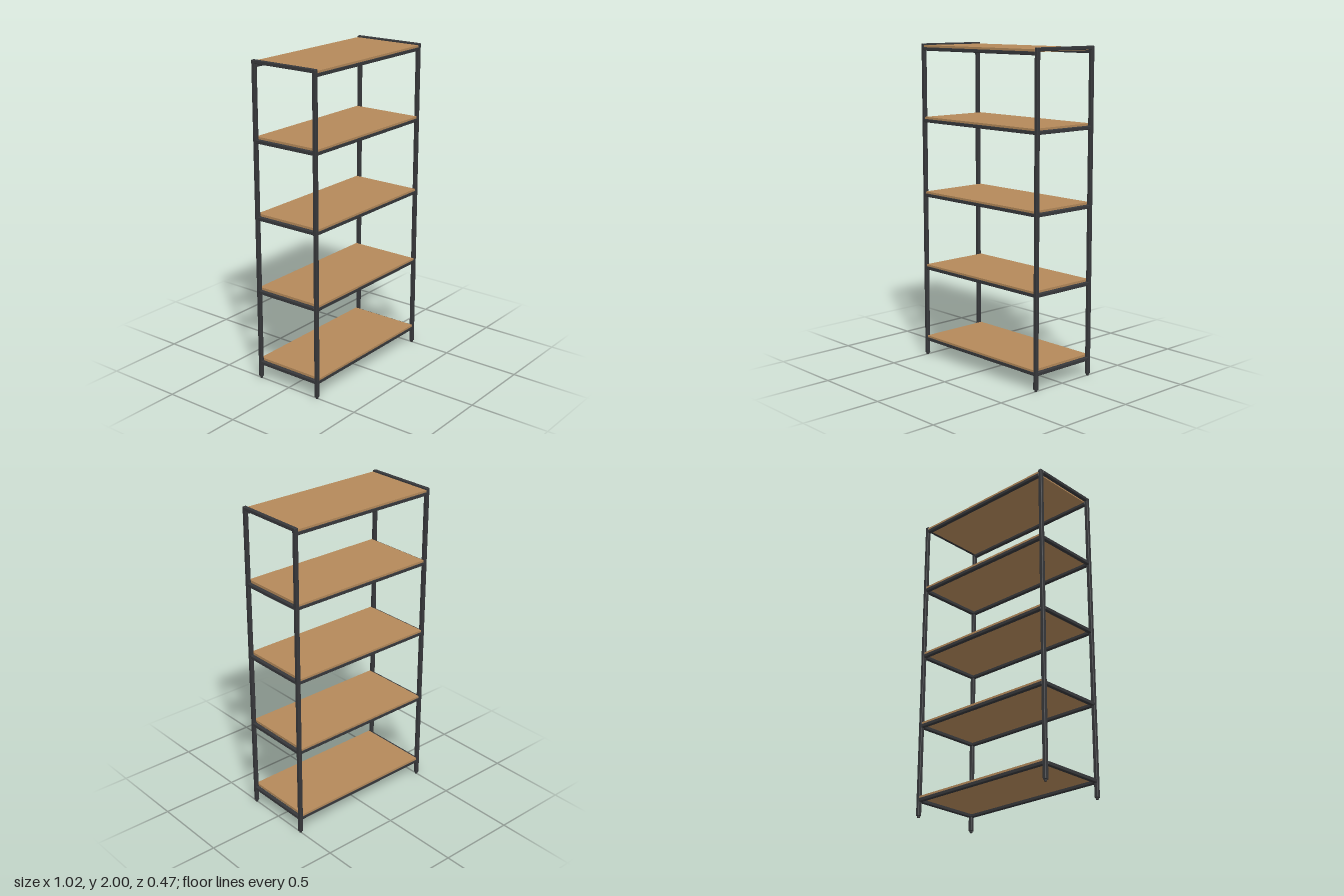
import * as THREE from 'three';
import { RoundedBoxGeometry } from 'three/addons/geometries/RoundedBoxGeometry.js';

export function createModel() {
  const model = new THREE.Group();
  model.name = 'shelvingUnit';

  const metal = new THREE.MeshStandardMaterial({ color: 0x37383b });
  metal.name = 'dark metal';
  const wood = new THREE.MeshStandardMaterial({ color: 0xb4895a });
  wood.name = 'warm wood';

  const T = 0.024;            // tube thickness
  const X = 0.5, Z = 0.222;   // post centres

  const add = (parent, name, geometry, material, x, y, z) => {
    const mesh = new THREE.Mesh(geometry, material);
    mesh.name = name;
    mesh.position.set(x, y, z);
    parent.add(mesh);
    return mesh;
  };
  const tube = (w, h, d) => new RoundedBoxGeometry(w, h, d, 2, 0.004);

  // Shared geometries
  const postGeo = tube(T, 1.99, T);
  const footGeo = new THREE.CylinderGeometry(0.01, 0.008, 0.014, 12);
  const longRailGeo = tube(2 * X - T + 0.006, 0.022, T);
  const sideRailGeo = tube(T, 0.022, 2 * Z - T + 0.006);
  const boardGeo = new THREE.BoxGeometry(0.972, 0.016, 0.464);

  // Corner posts with small feet
  for (const sx of [-1, 1]) {
    for (const sz of [-1, 1]) {
      add(model, 'post', postGeo, metal, sx * X, 1.005, sz * Z);
      add(model, 'foot', footGeo, metal, sx * X, 0.007, sz * Z);
    }
    // Bar closing the top of each end frame
    add(model, 'topEndBar', sideRailGeo, metal, sx * X, 1.989, 0);
  }

  // Shelf levels, given by the height of the rail underside
  [0.096, 0.568, 1.04, 1.512, 1.956].forEach((y, i) => {
    const shelf = new THREE.Group();
    shelf.name = 'shelf' + (i + 1);
    model.add(shelf);
    for (const s of [-1, 1]) {
      add(shelf, 'longRail', longRailGeo, metal, 0, y + 0.011, s * Z);
      if (i < 4) add(shelf, 'sideRail', sideRailGeo, metal, s * X, y + 0.011, 0);
    }
    // Board resting on the rails
    add(shelf, 'board', boardGeo, wood, 0, y + 0.026, 0);
  });

  return model;
}
